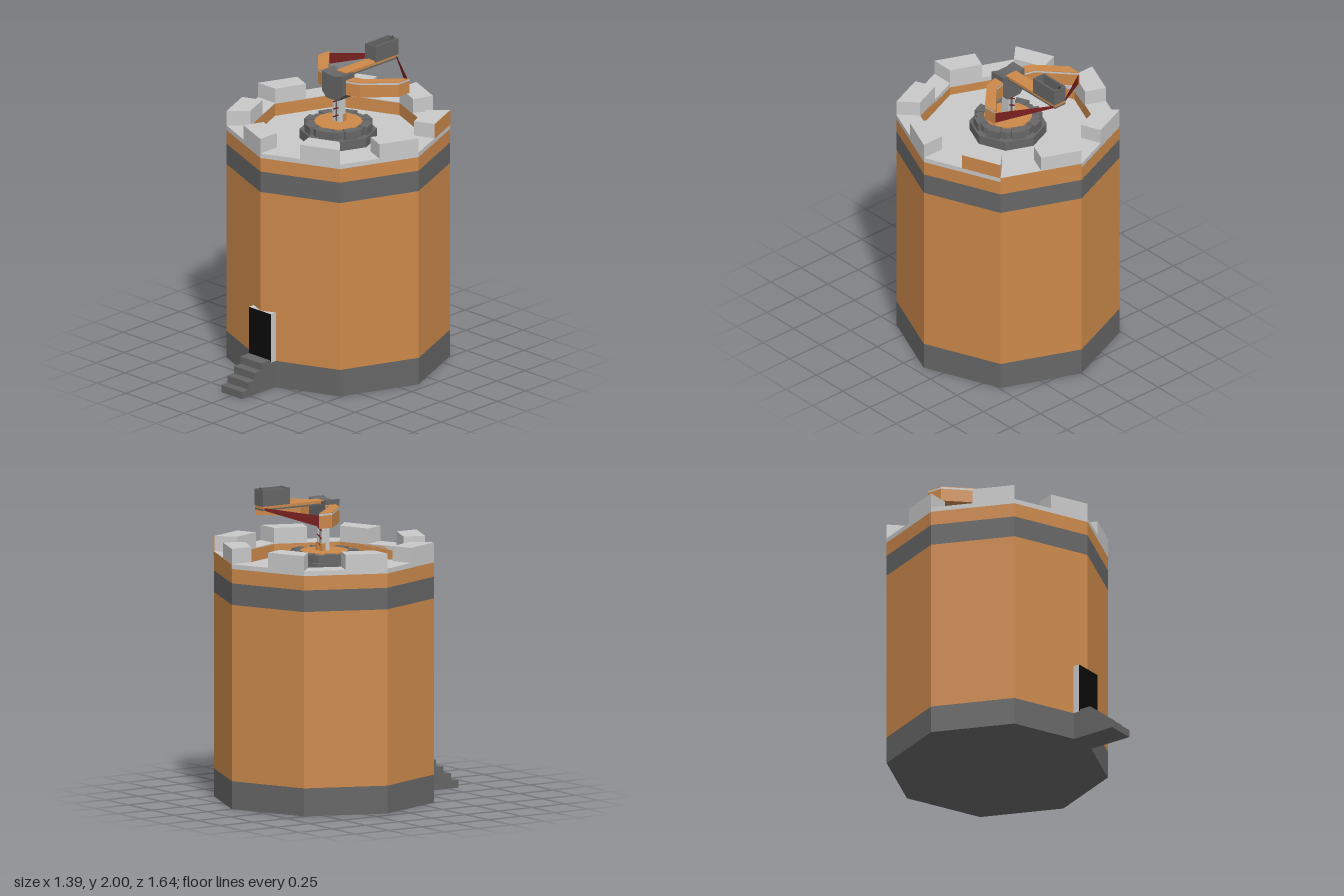
import * as THREE from 'three';

const mat = (name, color, side = THREE.FrontSide) => {
  const m = new THREE.MeshStandardMaterial({ color, flatShading: true, side });
  m.name = name;
  return m;
};

export function createModel() {
  const tan = mat('tan wood', 0xcc894b, THREE.DoubleSide);
  const grey = mat('dark stone', 0x666666);
  const light = mat('light stone', 0xc9c9c9);
  const red = mat('red cord', 0x7a2020, THREE.DoubleSide);
  const black = mat('black', 0x0b0b0b);

  const group = new THREE.Group();
  const tower = new THREE.Group(); // origin on the tower axis
  tower.name = 'tower';
  tower.position.z = -0.123;
  group.add(tower);

  const add = (parent, name, geo, material, x = 0, y = 0, z = 0) => {
    const m = new THREE.Mesh(geo, material);
    m.name = name;
    m.position.set(x, y, z);
    parent.add(m);
    return m;
  };
  // Box given by its limits
  const box = (parent, name, material, x0, x1, y0, y1, z0, z1) =>
    add(parent, name, new THREE.BoxGeometry(x1 - x0, y1 - y0, z1 - z0), material,
      (x0 + x1) / 2, (y0 + y1) / 2, (z0 + z1) / 2);
  // Horizontal outline [x, z] raised from y0 to y1
  const slab = (parent, name, material, pts, y0, y1) => {
    const shape = new THREE.Shape(pts.map(([x, z]) => new THREE.Vector2(x, -z)));
    const geo = new THREE.ExtrudeGeometry(shape, { depth: y1 - y0, bevelEnabled: false });
    geo.rotateX(-Math.PI / 2);
    return add(parent, name, geo, material, 0, y0, 0);
  };
  const prism = (name, material, r, y0, y1, sides = 8, open = false) =>
    add(tower, name, new THREE.CylinderGeometry(r, r, y1 - y0, sides, 1, open), material, 0, (y0 + y1) / 2, 0);
  // Part of side k of an octagonal ring, from fraction t0 to t1 of its length
  const sector = (name, material, k, t0, t1, rIn, rOut, y0, y1) => {
    const point = (r, t) => {
      const a = k * Math.PI / 4, b = a + Math.PI / 4;
      return [r * (Math.sin(a) * (1 - t) + Math.sin(b) * t), r * (Math.cos(a) * (1 - t) + Math.cos(b) * t)];
    };
    slab(tower, name, material, [point(rOut, t0), point(rOut, t1), point(rIn, t1), point(rIn, t0)], y0, y1);
  };

  // Tower body
  const R = 0.693, RI = 0.545;
  prism('towerBase', grey, R, 0, 0.175);
  prism('towerWall', tan, R, 0.175, 1.28);
  prism('towerBand', grey, R, 1.28, 1.415);
  prism('upperWall', tan, R, 1.415, 1.505, 8, true);
  prism('parapetLining', tan, RI, 1.45, 1.53, 8, true);
  prism('roofFloor', light, 0.56, 1.43, 1.45);

  // Parapet rim with one merlon on half of every side
  for (let k = 0; k < 8; k++) {
    sector('parapetRim', light, k, 0, 1, RI, R, 1.505, 1.535);
    sector('merlon', light, k, 0.5, 1, RI, R, 1.535, 1.63);
  }
  sector('merlonFacing', tan, 2, 0.5, 1, R - 0.002, R + 0.003, 1.535, 1.629);
  sector('rimFacing', tan, 3, 0, 1, R - 0.002, R + 0.003, 1.505, 1.534);

  // Turntable with toothed rim
  prism('turntableBase', grey, 0.24, 1.45, 1.51);
  prism('turntableRing', grey, 0.2, 1.51, 1.555);
  for (let k = 0; k < 8; k++) sector('turntableTooth', grey, k, 0.25, 0.75, 0.15, 0.228, 1.51, 1.562);
  prism('turntableDisc', tan, 0.15, 1.54, 1.563, 16);

  // Doorway and steps
  box(group, 'doorFrame', light, -0.095, 0.095, 0.175, 0.495, 0.48, 0.572);
  box(group, 'doorOpening', black, -0.094, 0.094, 0.18, 0.494, 0.57, 0.576);
  [0.825, 0.77, 0.713, 0.655].forEach((z, i) =>
    box(group, 'step', grey, -0.09, 0.09, i * 0.0475, (i + 1) * 0.0475, 0.5, z));

  // Ballista on its post
  const ballista = new THREE.Group();
  ballista.name = 'ballista';
  group.add(ballista);
  box(ballista, 'postCore', grey, -0.014, 0.014, 1.55, 1.74, -0.15, -0.11);
  for (const s of [-1, 1]) {
    const x = s * 0.02;
    box(ballista, 'postSlat', light, x - 0.008, x + 0.008, 1.55, 1.74, -0.158, -0.1);
    box(ballista, 'postFoot', tan, x - 0.011, x + 0.011, 1.56, 1.61, -0.165, -0.135);
  }
  for (const y of [1.6, 1.65, 1.7]) {
    const band = box(ballista, 'postCord', red, -0.026, 0.026, y - 0.004, y + 0.004, -0.16, -0.098);
    band.rotation.z = 0.45;
  }

  // Head block with chamfered foot and notched top
  const head = new THREE.Shape([[-0.05, 1.72], [0.05, 1.72], [0.088, 1.76], [0.088, 1.89],
    [0.035, 1.875], [-0.035, 1.875], [-0.088, 1.89], [-0.088, 1.76]].map(p => new THREE.Vector2(...p)));
  add(ballista, 'head', new THREE.ExtrudeGeometry(head, { depth: 0.11, bevelEnabled: false }), grey, 0, 0, -0.177);

  // Bow arms and cords, mirrored
  const arm = [[0.06, -0.1], [0.09, -0.1], [0.18, -0.13], [0.345, -0.3], [0.345, -0.4], [0.155, -0.195], [0.06, -0.17]];
  for (const s of [-1, 1]) {
    const pts = arm.map(([x, z]) => [s * x, z]);
    slab(ballista, 'bowArm', tan, pts, 1.762, 1.843);
    slab(ballista, 'bowInlay', light, pts, 1.843, 1.855);
    slab(ballista, 'bowArmTop', tan, pts, 1.855, 1.859);
    const cord = new THREE.BufferGeometry();
    cord.setAttribute('position', new THREE.Float32BufferAttribute([
      s * 0.34, 1.775, -0.395, s * 0.34, 1.845, -0.395, s * 0.03, 1.873, -0.607,
      s * 0.34, 1.775, -0.395, s * 0.03, 1.873, -0.607, s * 0.03, 1.858, -0.607], 3));
    cord.computeVertexNormals();
    add(ballista, 'bowCord', cord, red);
  }

  // Stock rail
  box(ballista, 'rail', tan, -0.042, 0.042, 1.865, 1.882, -0.612, -0.15);
  box(ballista, 'railUnderside', grey, -0.043, 0.043, 1.855, 1.865, -0.612, -0.15);

  // Open bolt box at the rear
  for (const s of [-1, 1]) {
    const x = s * 0.04;
    box(ballista, 'boxSide', grey, x - 0.006, x + 0.006, 1.882, 1.985, -0.613, -0.41);
  }
  box(ballista, 'boxFront', grey, -0.04, 0.04, 1.89, 1.984, -0.416, -0.41);
  box(ballista, 'boxBack', grey, -0.04, 0.04, 1.882, 1.984, -0.613, -0.605);
  const shaft = add(ballista, 'bolt', new THREE.CylinderGeometry(0.006, 0.006, 0.16, 6), grey, 0, 1.91, -0.52);
  shaft.rotation.x = Math.PI / 2;
  const tip = add(ballista, 'boltTip', new THREE.ConeGeometry(0.012, 0.02, 4), black, 0, 1.91, -0.43);
  tip.rotation.x = Math.PI / 2;
  add(ballista, 'boxSpike', new THREE.ConeGeometry(0.008, 0.016, 4), black, 0, 1.992, -0.605);

  return group;
}
